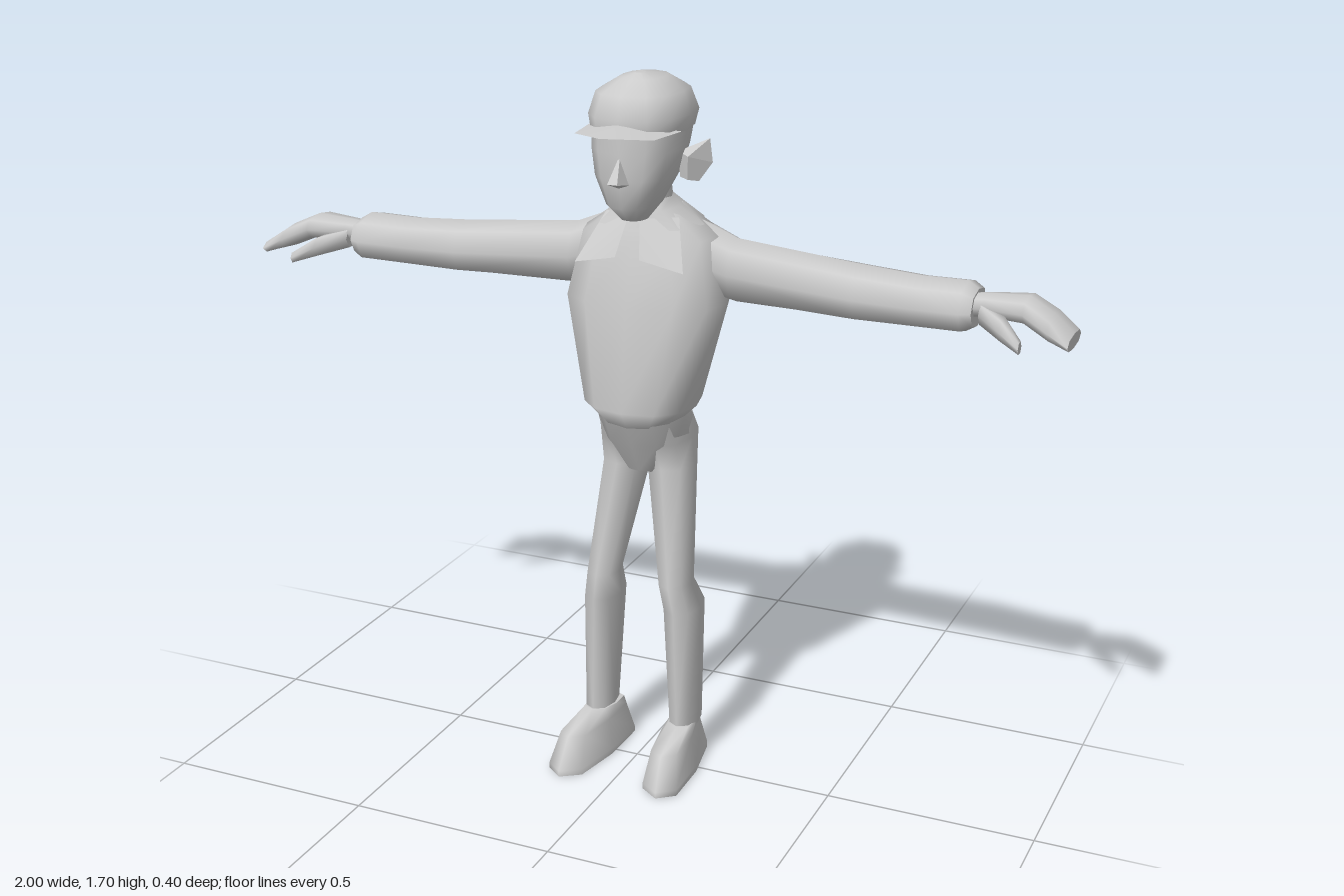
import * as THREE from 'three';
import { ConvexGeometry } from 'three/addons/geometries/ConvexGeometry.js';

const grey = new THREE.MeshStandardMaterial({ color: 0xcccccc });
const thin = new THREE.MeshStandardMaterial({ color: 0xcccccc, side: THREE.DoubleSide });

// Skin rounded sections [position, uMin, uMax, vMin, vMax].
// axis 'y': u = x, v = z.  axis 'x': u = z, v = y.  power < 1 makes sections squarer.
function loft(axis, sections, { sides = 8, power = 0.85, caps = true } = {}) {
  const pos = [], index = [];
  const bend = (t) => Math.sign(t) * Math.pow(Math.abs(t) < 1e-9 ? 0 : Math.abs(t), power);
  const point = (s, c, d) => {
    const u = (s[1] + s[2]) / 2 + c * (s[2] - s[1]) / 2;
    const v = (s[3] + s[4]) / 2 + d * (s[4] - s[3]) / 2;
    pos.push(...(axis === 'y' ? [u, s[0], v] : [s[0], v, u]));
  };
  const ring = (s) => {
    const start = pos.length / 3;
    for (let i = 0; i < sides; i++) {
      const a = (i / sides) * Math.PI * 2;
      point(s, bend(Math.cos(a)), bend(Math.sin(a)));
    }
    return start;
  };
  const starts = sections.map(ring);
  for (let k = 0; k + 1 < starts.length; k++) {
    for (let i = 0; i < sides; i++) {
      const j = (i + 1) % sides, a = starts[k], b = starts[k + 1];
      index.push(a + i, b + i, a + j, a + j, b + i, b + j);
    }
  }
  if (caps) {
    [sections[0], sections[sections.length - 1]].forEach((s, end) => {
      const r = ring(s), centre = pos.length / 3;
      point(s, 0, 0);
      for (let i = 0; i < sides; i++) {
        const j = (i + 1) % sides;
        if (end) index.push(centre, r + j, r + i);
        else index.push(centre, r + i, r + j);
      }
    });
  }
  const geo = new THREE.BufferGeometry();
  geo.setAttribute('position', new THREE.Float32BufferAttribute(pos, 3));
  geo.setIndex(index);
  geo.computeVertexNormals();
  return geo;
}

// Sections symmetric about x = 0: [y, halfWidth, zBack, zFront]
const bodyLoft = (rows, options) =>
  loft('y', rows.map(([y, w, b, f]) => [y, -w, w, b, f]), options);

const hull = (points) => new ConvexGeometry(points.map((p) => new THREE.Vector3(...p)));

function sheet(points, index) {
  const geo = new THREE.BufferGeometry();
  geo.setAttribute('position', new THREE.Float32BufferAttribute(points.flat(), 3));
  geo.setIndex(index);
  geo.computeVertexNormals();
  return geo;
}

// Mirror across x = 0 and restore the winding
function mirrored(source) {
  const geo = source.clone();
  if (!geo.index) geo.setIndex([...Array(geo.attributes.position.count).keys()]);
  geo.scale(-1, 1, 1);
  const ix = geo.index.array;
  for (let i = 0; i < ix.length; i += 3) [ix[i], ix[i + 1]] = [ix[i + 1], ix[i]];
  geo.computeVertexNormals();
  return geo;
}

export function createModel() {
  const model = new THREE.Group();
  model.name = 'figure';
  const add = (name, geo, mat = grey) => {
    const mesh = new THREE.Mesh(geo, mat);
    mesh.name = name;
    model.add(mesh);
  };
  const pair = (name, geo, mat) => {
    add('left' + name, geo, mat);
    add('right' + name, mirrored(geo), mat);
  };

  // Jacket and hips
  add('jacket', bodyLoft([
    [0.88, 0.09, -0.14, 0.06], [0.925, 0.135, -0.165, 0.092], [1.17, 0.197, -0.2, 0.067],
    [1.32, 0.165, -0.2, 0.03], [1.385, 0.07, -0.15, -0.005],
  ], { sides: 12 }));
  add('hips', bodyLoft([
    [0.75, 0.05, -0.12, -0.01], [0.83, 0.105, -0.176, 0.035], [0.9, 0.105, -0.15, 0.07],
  ], { sides: 12 }));

  // Collar band and pointed flaps
  add('collar', bodyLoft([
    [1.345, 0.13, -0.19, 0.025], [1.385, 0.075, -0.155, 0.012], [1.41, 0.06, -0.115, 0],
  ], { caps: false }), thin);
  pair('CollarFlap', sheet(
    [[0.015, 1.37, 0.02], [0.09, 1.37, -0.03], [0.134, 1.262, 0.05], [0.03, 1.285, 0.058]],
    [0, 3, 2, 0, 2, 1]), thin);

  // Sleeves, mitten hands and thumbs
  pair('Sleeve', loft('x', [
    [0.08, -0.19, -0.02, 1.2, 1.365], [0.2, -0.175, -0.045, 1.165, 1.315],
    [0.5, -0.195, -0.035, 1.158, 1.285], [0.64, -0.175, -0.022, 1.165, 1.28],
    [0.75, -0.162, -0.008, 1.17, 1.285], [0.775, -0.145, -0.02, 1.185, 1.27],
  ]));
  pair('Hand', loft('x', [
    [0.74, -0.11, -0.04, 1.205, 1.26], [0.8, -0.12, -0.03, 1.215, 1.265],
    [0.89, -0.132, -0.005, 1.215, 1.272], [0.95, -0.12, 0.02, 1.19, 1.245],
    [0.998, -0.1, 0.028, 1.177, 1.21],
  ]));
  pair('Thumb', loft('x', [
    [0.79, -0.08, -0.025, 1.2, 1.25], [0.85, -0.035, 0.03, 1.185, 1.235],
    [0.9, 0.025, 0.056, 1.172, 1.2],
  ], { sides: 6 }));

  // Legs
  pair('Leg', loft('y', [
    [0.1, 0.08, 0.145, -0.1, 0.018], [0.41, 0.062, 0.147, -0.115, 0.026],
    [0.48, 0.055, 0.133, -0.072, 0.034], [0.76, 0.002, 0.113, -0.15, -0.008],
    [0.83, 0, 0.108, -0.172, 0.02], [0.88, 0.01, 0.1, -0.145, 0.04],
  ]));

  // Shoes, turned slightly outward towards the toe
  const shoe = loft('y', [
    [0, 0.055, 0.165, -0.14, 0.182], [0.015, 0.055, 0.165, -0.14, 0.182],
    [0.088, 0.068, 0.15, -0.11, 0.14], [0.115, 0.078, 0.145, -0.1, 0.02],
  ], { power: 0.65 });
  const sp = shoe.attributes.position;
  for (let i = 0; i < sp.count; i++) {
    sp.setX(i, sp.getX(i) + 0.1 * sp.getZ(i));
    if (sp.getY(i) > 0.1) sp.setY(i, 0.11 + 0.05 * sp.getZ(i));
  }
  shoe.computeVertexNormals();
  pair('Shoe', shoe);

  // Neck and head
  add('neck', bodyLoft([[1.33, 0.06, -0.14, 0], [1.47, 0.055, -0.105, 0.01]]));
  add('head', bodyLoft([
    [1.37, 0.03, -0.03, 0.05], [1.405, 0.058, -0.06, 0.088], [1.47, 0.09, -0.1, 0.098],
    [1.53, 0.103, -0.14, 0.1], [1.6, 0.108, -0.172, 0.1],
  ], { sides: 12 }));
  add('nose', hull([
    [0, 1.53, 0.092], [-0.022, 1.462, 0.09], [0.022, 1.462, 0.09],
    [-0.012, 1.47, 0.135], [0.012, 1.47, 0.135], [0, 1.455, 0.1],
  ]));
  pair('Ear', hull([
    [0.085, 1.52, -0.035], [0.085, 1.46, -0.045], [0.11, 1.51, -0.03], [0.105, 1.455, -0.04],
    [0.142, 1.545, -0.082], [0.148, 1.49, -0.085], [0.125, 1.45, -0.06], [0.12, 1.5, -0.085],
  ]));

  // Cap crown and peaked brim
  add('capCrown', bodyLoft([
    [1.57, 0.108, -0.165, 0.1], [1.605, 0.114, -0.18, 0.106],
    [1.655, 0.098, -0.155, 0.088], [1.684, 0.05, -0.105, 0.035], [1.695, 0.012, -0.03, 0],
  ], { sides: 12 }));
  add('capBrim', sheet(
    [[-0.112, 1.575, 0.01], [-0.095, 1.575, 0.125], [0, 1.585, 0.2],
      [0.095, 1.575, 0.125], [0.112, 1.575, 0.01], [0, 1.598, 0.09]],
    [5, 0, 1, 5, 1, 2, 5, 2, 3, 5, 3, 4]), thin);

  return model;
}
